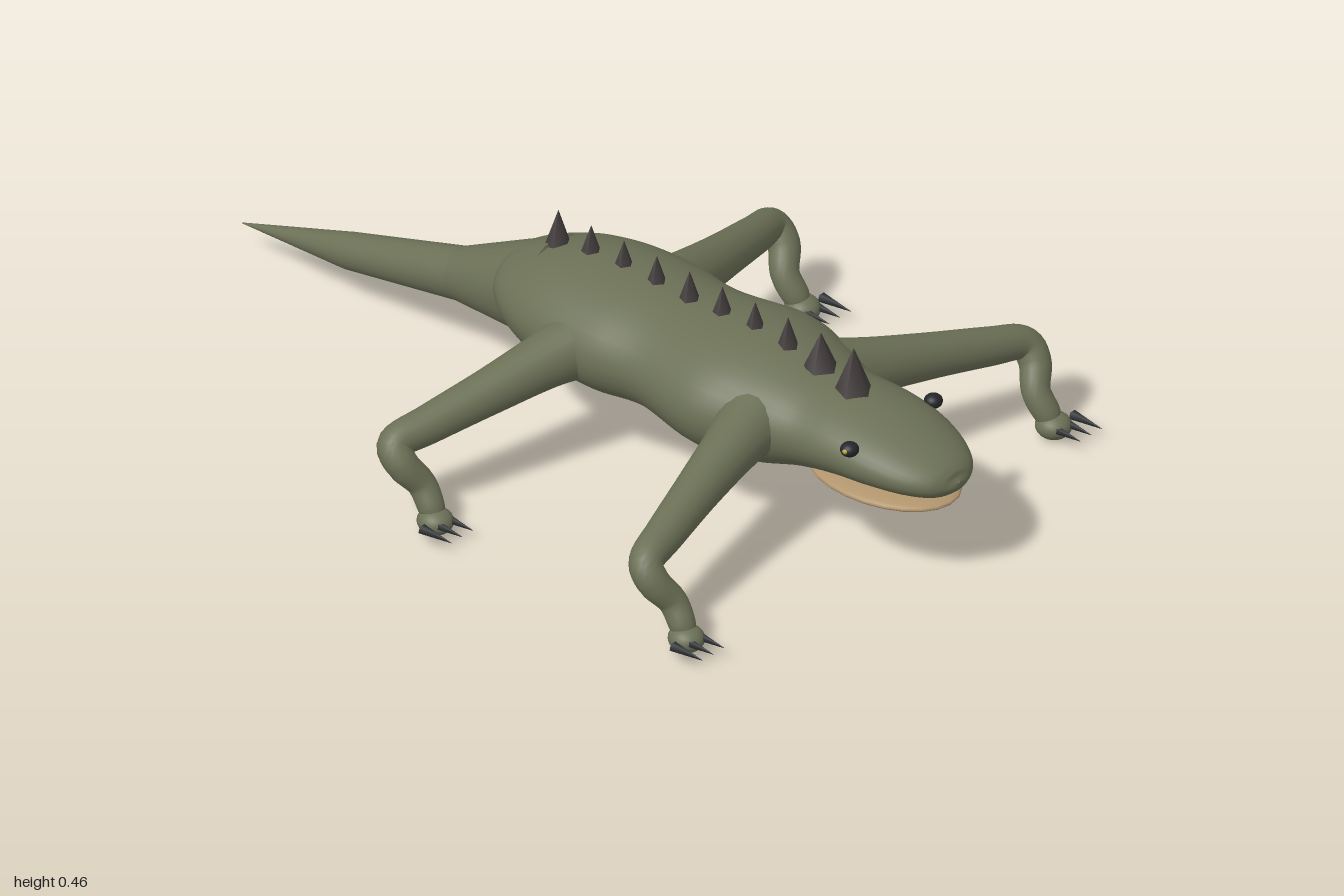
import * as THREE from 'three';

const mat = (name, color) => {
  const m = new THREE.MeshStandardMaterial({ color });
  m.name = name;
  return m;
};

// Smooth skin over rings: each row is [x, y, z, radius1, radius2]
function skin(rows, ref, steps, sides) {
  const path = new THREE.CatmullRomCurve3(rows.map(r => new THREE.Vector3(r[0], r[1], r[2])), false, 'catmullrom', 0.5);
  const size = new THREE.CatmullRomCurve3(rows.map(r => new THREE.Vector3(r[3], r[4] ?? r[3], 0)), false, 'catmullrom', 0.5);
  const pos = [], idx = [];
  for (let i = 0; i <= steps; i++) {
    const c = path.getPoint(i / steps), s = size.getPoint(i / steps), t = path.getTangent(i / steps);
    const n1 = ref.clone().cross(t).normalize(), n2 = t.clone().cross(n1);
    for (let j = 0; j < sides; j++) {
      const a = j / sides * Math.PI * 2;
      const p = c.clone().addScaledVector(n1, Math.cos(a) * s.x).addScaledVector(n2, Math.sin(a) * s.y);
      pos.push(p.x, p.y, p.z);
      if (i < steps) {
        const k = (j + 1) % sides, A = i * sides + j, B = i * sides + k;
        idx.push(A, B, B + sides, A, B + sides, A + sides);
      }
    }
  }
  const g = new THREE.BufferGeometry();
  g.setAttribute('position', new THREE.Float32BufferAttribute(pos, 3));
  g.setIndex(idx);
  g.computeVertexNormals();
  return g;
}

// Tapered round piece from point a to point b
function taper(a, b, ra, rb, sides) {
  const from = new THREE.Vector3(...a), to = new THREE.Vector3(...b), d = to.clone().sub(from);
  const g = new THREE.CylinderGeometry(rb, ra, d.length(), sides);
  g.applyQuaternion(new THREE.Quaternion().setFromUnitVectors(new THREE.Vector3(0, 1, 0), d.normalize()));
  const m = from.add(to).multiplyScalar(0.5);
  return g.translate(m.x, m.y, m.z);
}

const ball = (x, y, z, rx, ry, rz) => new THREE.SphereGeometry(1, 24, 16).scale(rx, ry, rz).translate(x, y, z);

export function createModel() {
  const hide = mat('olive hide', 0x6b7056);
  const jawTan = mat('tan jaw', 0xb0946c);
  const horn = mat('dark horn', 0x423b3b);
  const claw = mat('black claw', 0x23262a);
  const amber = mat('amber eye', 0xb59a3c);
  const model = new THREE.Group();
  const add = (parent, name, geo, material) => {
    const m = new THREE.Mesh(geo, material);
    m.name = name;
    parent.add(m);
  };

  // Trunk and head in one skin: [z, half width, top, bottom]
  const sections = [
    [-0.24, 0.002, 0.282, 0.278], [-0.225, 0.075, 0.325, 0.24], [-0.18, 0.13, 0.355, 0.21], [-0.1, 0.172, 0.383, 0.17],
    [0, 0.195, 0.398, 0.147], [0.12, 0.2, 0.4, 0.14], [0.25, 0.186, 0.391, 0.15],
    [0.42, 0.214, 0.4, 0.13], [0.54, 0.185, 0.387, 0.138], [0.64, 0.148, 0.362, 0.165],
    [0.74, 0.143, 0.355, 0.187], [0.83, 0.136, 0.338, 0.197], [0.91, 0.113, 0.312, 0.203],
    [0.965, 0.08, 0.288, 0.21], [0.99, 0.045, 0.27, 0.225], [1, 0.002, 0.251, 0.249],
  ];
  add(model, 'body', skin(sections.map(([z, w, t, b]) => [0, (t + b) / 2, z, w, (t - b) / 2]),
    new THREE.Vector3(0, 1, 0), 90, 36), hide);

  // Lower jaw
  add(model, 'lowerJaw', ball(0, 0.188, 0.79, 0.122, 0.021, 0.187), jawTan);

  // Tail in three tapering pieces
  const tail = [[0.265, -0.1, 0.12], [0.193, -0.385, 0.058], [0.12, -0.7, 0.04], [0.065, -1, 0.001]];
  for (let i = 0; i < 3; i++) {
    const [y0, z0, r0] = tail[i], [y1, z1, r1] = tail[i + 1];
    add(model, 'tailSegment', taper([0, y0, z0], [0, y1, z1], r0, r1, 24), hide);
  }

  // Row of back spikes
  for (let i = 0; i < 10; i++) {
    const z = 0.705 - i * 0.0915, r = i === 0 ? 0.042 : i === 1 ? 0.037 : 0.028;
    add(model, 'backSpike', taper([0, i === 0 ? 0.35 : 0.372, z], [0, 0.455, z], r, 0.0005, 5), horn);
  }

  for (const s of [1, -1]) {
    const side = s > 0 ? 'left' : 'right';

    // Eye with an amber glint on its outer side
    add(model, side + 'Eye', ball(s * 0.13, 0.312, 0.81, 0.02, 0.016, 0.02), claw);
    add(model, side + 'EyeGlint', ball(s * 0.142, 0.314, 0.812, 0.01, 0.007, 0.008), amber);

    // Legs: shoulder z and elbow z
    for (const [name, zs, ze] of [['FrontLeg', 0.55, 0.65], ['HindLeg', 0.05, -0.05]]) {
      const leg = new THREE.Group();
      leg.name = side + name;
      model.add(leg);
      const along = f => zs + (ze - zs) * f;
      const rows = [
        [0.1, 0.27, along(-0.2), 0.085], [0.2, 0.258, along(0.05), 0.063], [0.35, 0.23, along(0.4), 0.05],
        [0.5, 0.201, along(0.78), 0.042], [0.583, 0.182, ze, 0.037], [0.592, 0.145, ze + 0.028, 0.035],
        [0.564, 0.098, ze + 0.056, 0.031], [0.566, 0.055, ze + 0.085, 0.029], [0.57, 0.03, ze + 0.1, 0.02],
      ].map(([x, y, z, r]) => [s * x, y, z, r]);
      add(leg, 'limb', skin(rows, new THREE.Vector3(0, 0, 1), 48, 20), hide);
      add(leg, 'foot', ball(s * 0.57, 0.029, ze + 0.1, 0.038, 0.029, 0.04), hide);
      for (const x of [0.553, 0.587, 0.62])
        add(leg, 'claw', taper([s * x, 0.033, ze + 0.108], [s * x, 0.033, ze + 0.19], 0.012, 0.0005, 5), claw);
    }
  }
  return model;
}
